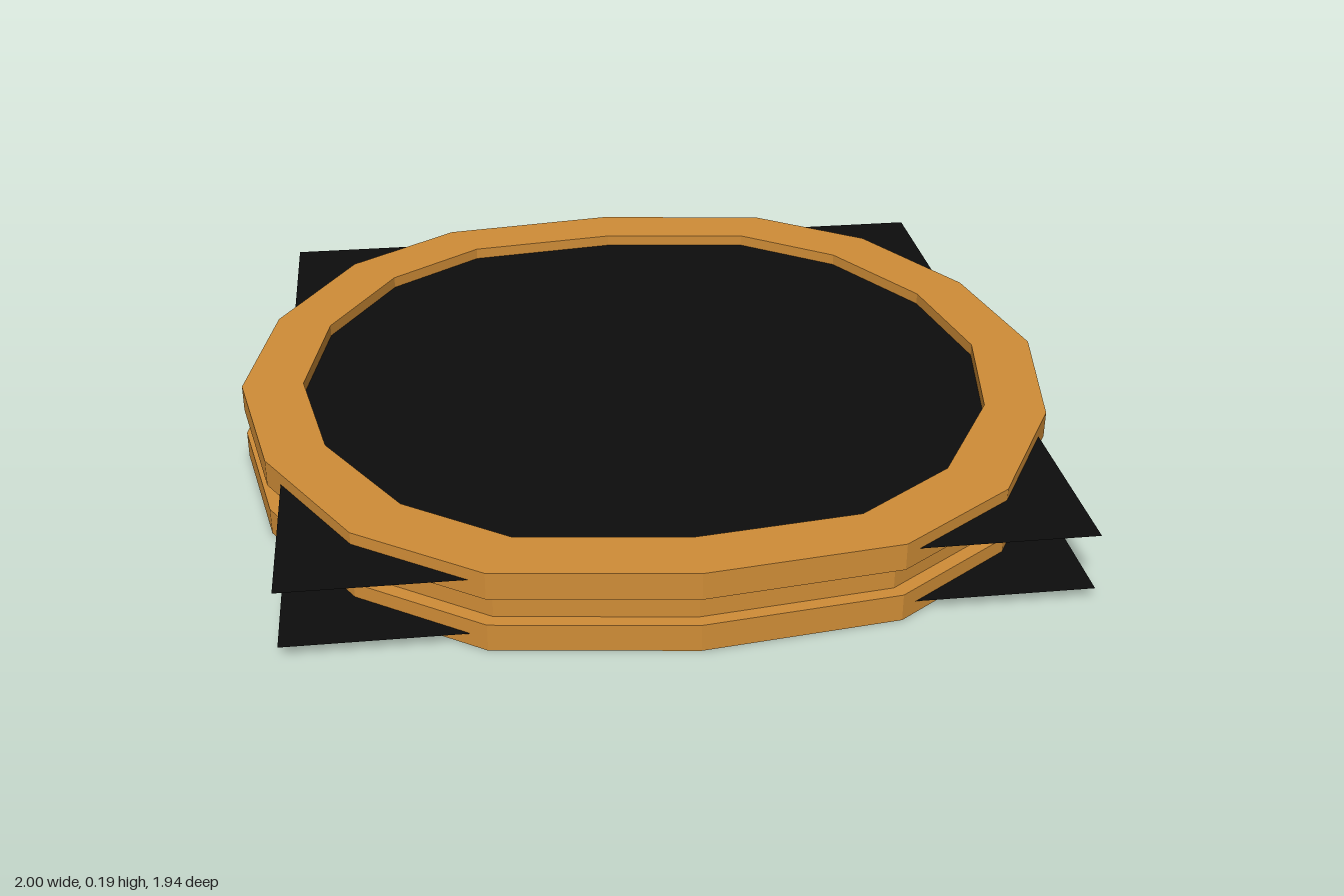
import * as THREE from 'three';

// One quadrant of the sixteen-sided outlines, from the side (+x) to the front (+z)
const OUTER = [[1, 0], [0.926, 0.38], [0.73, 0.718], [0.45, 0.914], [0, 0.972]];
const INNER = [[0.85, 0], [0.79, 0.323], [0.62, 0.61], [0.384, 0.78], [0, 0.829]];

// Mirror a quadrant into a closed outline
function outline(quadrant, scale) {
  const half = [...quadrant, ...quadrant.slice(0, -1).reverse().map(([x, z]) => [-x, z])];
  const full = [...half, ...half.slice(1, -1).reverse().map(([x, z]) => [x, -z])];
  return full.map(([x, z]) => new THREE.Vector2(x * scale, z * scale));
}

export function createModel() {
  const model = new THREE.Group();
  model.name = 'framedDisc';

  const wood = new THREE.MeshStandardMaterial({ color: 0xd08d37, flatShading: true });
  wood.name = 'amberWood';
  const black = new THREE.MeshStandardMaterial({ color: 0x0d0d0d, side: THREE.DoubleSide });
  black.name = 'black';

  // Three stacked rings, the middle one slightly recessed
  const layer = 0.065;
  const rings = [['lowerRing', 1], ['middleRing', 0.967], ['upperRing', 1]];
  rings.forEach(([name, scale], i) => {
    const shape = new THREE.Shape(outline(OUTER, scale));
    shape.holes.push(new THREE.Path(outline(INNER, scale)));
    const geometry = new THREE.ExtrudeGeometry(shape, { depth: layer, bevelEnabled: false });
    geometry.rotateX(-Math.PI / 2);
    const ring = new THREE.Mesh(geometry, wood);
    ring.name = name;
    ring.position.y = i * layer;
    model.add(ring);
  });

  // Square sheets through the lower and upper rings
  for (const [name, y] of [['lowerSheet', 0.03], ['upperSheet', 0.166]]) {
    const sheet = new THREE.Mesh(new THREE.PlaneGeometry(1.78, 1.78).rotateX(-Math.PI / 2), black);
    sheet.name = name;
    sheet.position.y = y;
    model.add(sheet);
  }

  return model;
}
